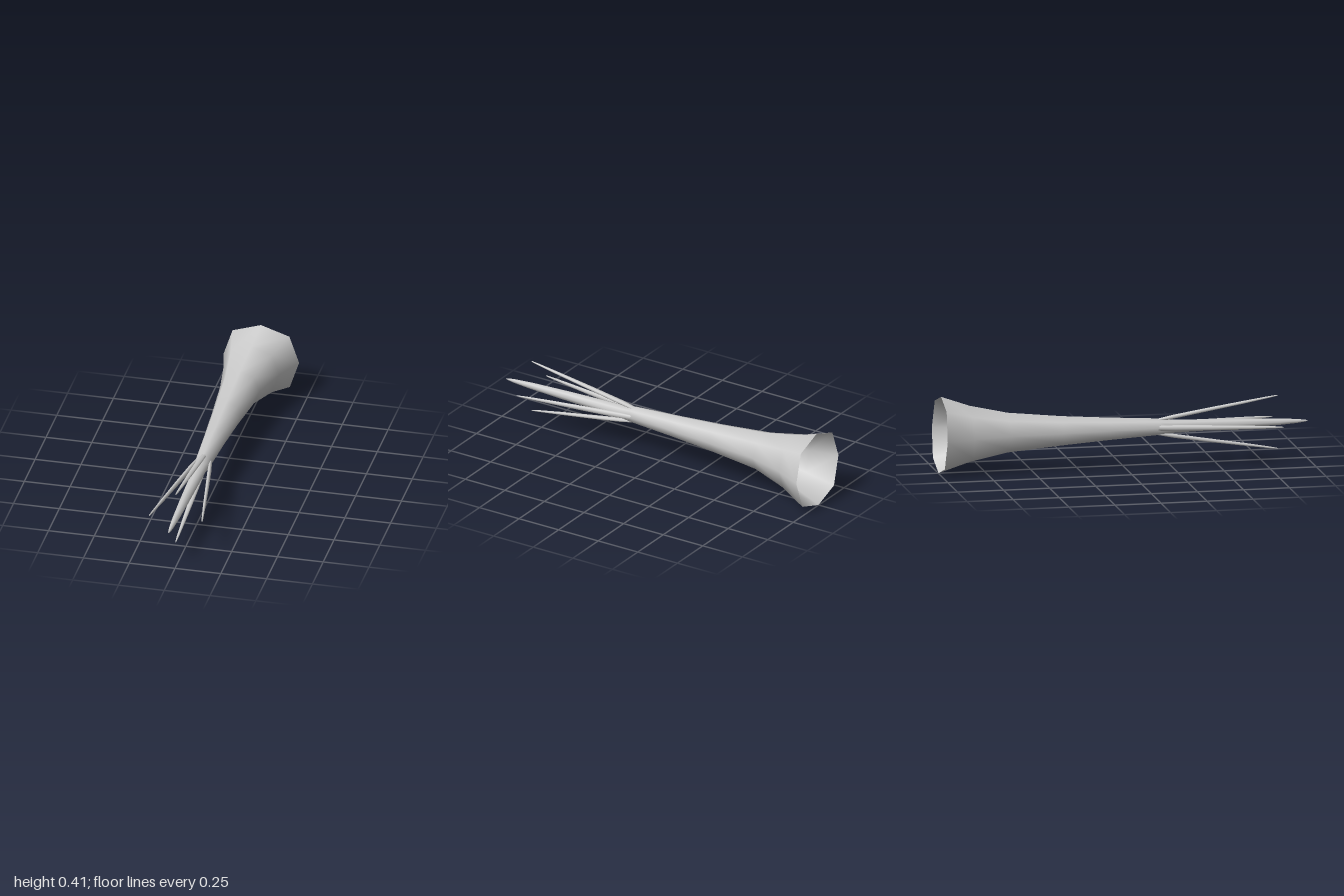
import * as THREE from 'three';

// Smooth skin over rings [z, cx, cy, rx, ry, diagonal scale, tilt], ordered back to front
function loft(rings, sides) {
  const pos = [], index = [];
  for (const [z, cx, cy, rx, ry = rx, diag = 1, tilt = 0] of rings) {
    for (let j = 0; j < sides; j++) {
      const a = (j / sides) * Math.PI * 2;
      const k = j % 2 ? diag : 1;
      pos.push(cx + Math.cos(a) * rx * k, cy + Math.sin(a) * ry * k, z + Math.sin(a) * tilt);
    }
  }
  for (let i = 0; i < rings.length - 1; i++) {
    for (let j = 0; j < sides; j++) {
      const n = (j + 1) % sides;
      const a = i * sides + j, b = i * sides + n;
      index.push(a, b, b + sides, a, b + sides, a + sides);
    }
  }
  const g = new THREE.BufferGeometry();
  g.setAttribute('position', new THREE.Float32BufferAttribute(pos, 3));
  g.setIndex(index);
  g.computeVertexNormals();
  return g;
}

export function createModel() {
  const model = new THREE.Group();
  const mat = new THREE.MeshStandardMaterial({ color: 0xcccccc, side: THREE.DoubleSide });
  const cx = -0.036, cy = 0.209;

  // Open flared horn that narrows into the long central spike
  const horn = new THREE.Mesh(loft([
    [-0.992, 0, 0.208, 0.207, 0.207, 1.06, 0.007],
    [-0.835, -0.017, 0.211, 0.153, 0.153, 1.03],
    [-0.63, -0.031, 0.212, 0.108],
    [-0.34, -0.035, 0.21, 0.08],
    [-0.08, cx, 0.21, 0.061],
    [0.19, cx, 0.21, 0.045],
    [0.26, cx, cy, 0.036],
    [0.6, cx, cy, 0.027],
    [0.84, cx, cy, 0.018],
    [0.94, cx, cy, 0.011],
    [0.985, cx, cy, 0.005],
    [1, cx, cy, 0],
  ], 8), mat);
  horn.name = 'hornBody';
  model.add(horn);

  // Four slim spikes splayed around the central one
  const spikeGeometry = loft([
    [0.17, 0, 0.034, 0],
    [0.18, 0, 0.036, 0.014, 0.008],
    [0.27, 0, 0.052, 0.0165, 0.011],
    [0.45, 0, 0.082, 0.0145, 0.01],
    [0.65, 0, 0.114, 0.0105, 0.008],
    [0.79, 0, 0.137, 0.006, 0.005],
    [0.83, 0, 0.1435, 0.003, 0.003],
    [0.838, 0, 0.145, 0],
  ], 8);
  ['upperSpike', 'rightSpike', 'lowerSpike', 'leftSpike'].forEach((name, i) => {
    const spike = new THREE.Mesh(spikeGeometry, mat);
    spike.name = name;
    spike.position.set(cx, cy, 0);
    spike.rotation.z = i * Math.PI / 2;
    model.add(spike);
  });

  return model;
}
